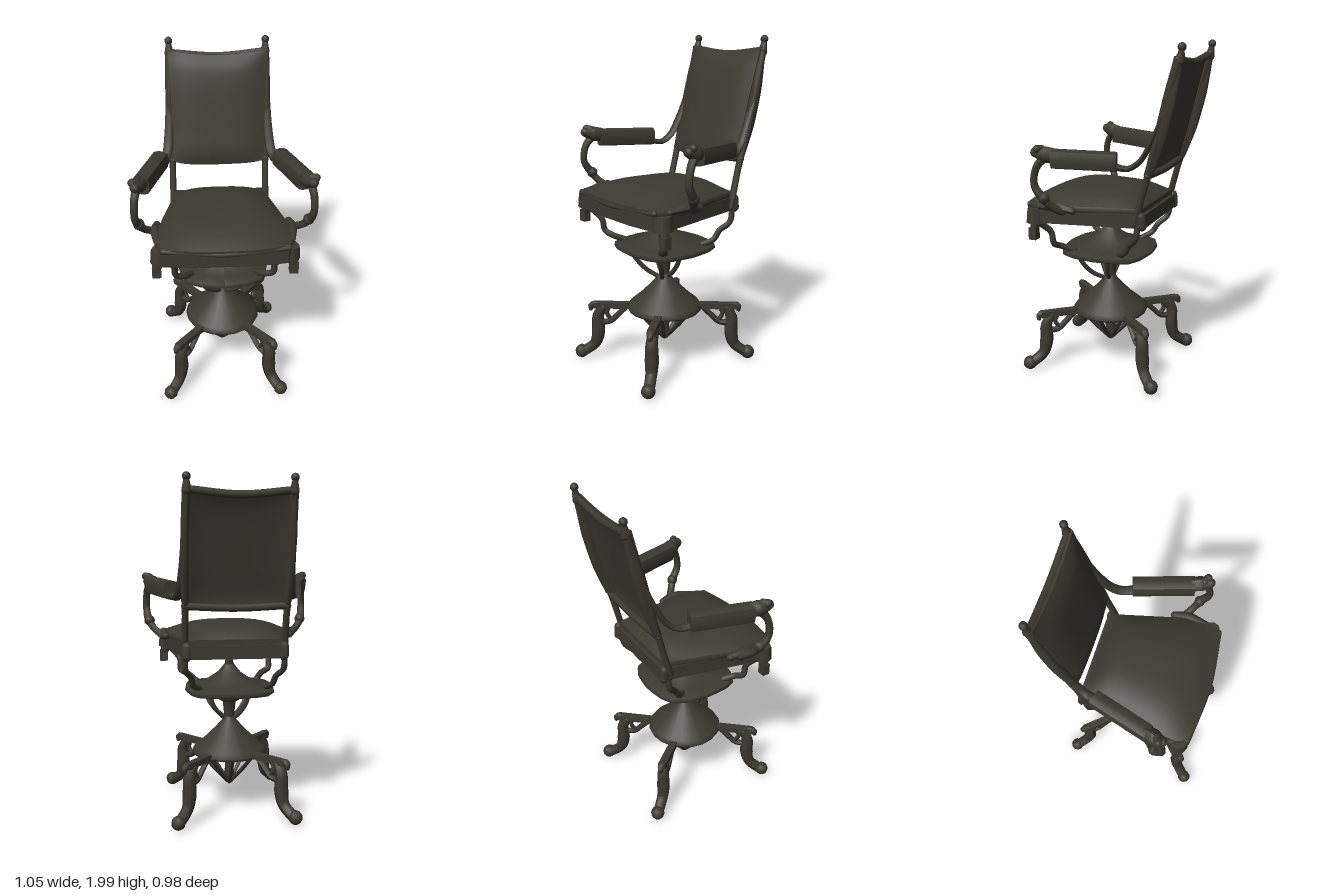
import * as THREE from 'three';
import { mergeGeometries } from 'three/addons/utils/BufferGeometryUtils.js';

const V = (p) => new THREE.Vector3(...p);
const CZ = 0.055; // z of the pedestal axis

// Tapered, round-ended tube through a few points; wide and deep stretch its section along x and z
function limb(points, radii, seg = 16, sides = 8, wide = 1, deep = 1) {
  const r = Array.isArray(radii) ? radii : [radii, radii];
  const curve = new THREE.CatmullRomCurve3(points.map(V));
  const stretch = new THREE.Vector3(wide, 1, deep);
  const radiusAt = (t) => {
    const f = t * (r.length - 1), i = Math.min(Math.floor(f), r.length - 2);
    return THREE.MathUtils.lerp(r[i], r[i + 1], f - i);
  };
  const g = new THREE.TubeGeometry(curve, seg, 1, sides);
  const pos = g.attributes.position, p = new THREE.Vector3();
  for (let i = 0; i < pos.count; i++) {
    const t = Math.floor(i / (sides + 1)) / seg, c = curve.getPointAt(t);
    p.fromBufferAttribute(pos, i).sub(c).multiplyScalar(radiusAt(t)).multiply(stretch).add(c);
    pos.setXYZ(i, p.x, p.y, p.z);
  }
  g.computeVertexNormals();
  const caps = [0, 1].map((t) => {
    const c = curve.getPointAt(t);
    return new THREE.SphereGeometry(radiusAt(t), 8, 6).scale(wide, 1, deep).translate(c.x, c.y, c.z);
  });
  return mergeGeometries([g, ...caps]);
}

// Box with every vertex moved by a rule; inputs run from -1 to 1
function shapedBox(nx, ny, nz, rule) {
  const g = new THREE.BoxGeometry(2, 2, 2, nx, ny, nz), pos = g.attributes.position;
  for (let i = 0; i < pos.count; i++) pos.setXYZ(i, ...rule(pos.getX(i), pos.getY(i), pos.getZ(i)));
  g.computeVertexNormals();
  return g;
}

// Piecewise-linear lookup
function lookup(table, x) {
  for (let i = 1; i < table.length; i++) {
    const [a, b] = [table[i - 1], table[i]];
    if (x <= b[0] || i === table.length - 1) return THREE.MathUtils.mapLinear(x, a[0], b[0], a[1], b[1]);
  }
}

const seatOutline = [[0.28, -0.27], [0.385, 0.28], [0.4, 0.36], [0.35, 0.425], [0.18, 0.445]];
function outline(Type, k) {
  const right = seatOutline.map(([x, z]) => new THREE.Vector2(x * k, -((z - 0.08) * k + 0.08)));
  const left = right.map((p) => new THREE.Vector2(-p.x, p.y)).reverse();
  return new Type([...right, ...left]);
}
function slab(shape, y, h) {
  return new THREE.ExtrudeGeometry(shape, { depth: h, bevelEnabled: false }).rotateX(-Math.PI / 2).translate(0, y, 0);
}

export function createModel() {
  const model = new THREE.Group();
  const mat = new THREE.MeshStandardMaterial({ color: 0x3b3a31, side: THREE.DoubleSide });
  mat.name = 'darkOlive';
  const add = (name, geo, parent = model) => {
    const m = new THREE.Mesh(geo, mat);
    m.name = name;
    parent.add(m);
    return m;
  };
  const turned = (pts, sides) => new THREE.LatheGeometry(pts.map((p) => new THREE.Vector2(...p)), sides);
  const ball = (name, p, r, parent) => add(name, new THREE.SphereGeometry(r, 10, 8).translate(...p), parent);

  // Pedestal: open cone and turned column
  add('baseCone', turned([[0.19, 0.36], [0.225, 0.345], [0.232, 0.36], [0.215, 0.385], [0.15, 0.44], [0.085, 0.505], [0.045, 0.55], [0.026, 0.58]], 20)).position.z = CZ;
  add('column', turned([[0, 0.135], [0.022, 0.15], [0.03, 0.19], [0.026, 0.3], [0.034, 0.45], [0.03, 0.57], [0.04, 0.665],
    [0.065, 0.68], [0.07, 0.7], [0.065, 0.725], [0.035, 0.735], [0.03, 0.85], [0.024, 0.93], [0.035, 0.97], [0.035, 1.03], [0, 1.04]], 12)).position.z = CZ;

  // Dish whose rim swells towards the four diagonals
  const dish = turned([[0.2, 0.76], [0.26, 0.735], [0.273, 0.745], [0.268, 0.768], [0.2, 0.775], [0.14, 0.8], [0.07, 0.85], [0.03, 0.9]], 24);
  const dp = dish.attributes.position;
  for (let i = 0; i < dp.count; i++) {
    const x = dp.getX(i), z = dp.getZ(i), k = 1 + 0.13 * Math.sin(2 * Math.atan2(z, x)) ** 4;
    dp.setXYZ(i, x * k, dp.getY(i), z * k);
  }
  dish.computeVertexNormals();
  add('upperDish', dish).position.z = CZ;

  const ribs = new THREE.Group();
  ribs.name = 'pedestalRibs';
  ribs.position.z = CZ;
  model.add(ribs);
  for (let i = 0; i < 8; i++)
    add('lowerRib', limb([[0.19, 0.36, 0], [0.1, 0.25, 0], [0.02, 0.165, 0]], 0.012, 8, 6), ribs).rotation.y = i * Math.PI / 4;

  // Four scrolled legs on the diagonals
  for (const sx of [-1, 1]) for (const sz of [-1, 1]) {
    const leg = new THREE.Group();
    leg.name = 'leg';
    leg.position.z = CZ;
    leg.rotation.y = Math.atan2(-sz * 0.76, sx * 0.65);
    model.add(leg);
    add('legArm', new THREE.BoxGeometry(0.26, 0.035, 0.045).translate(0.315, 0.362, 0), leg);
    add('legTip', limb([[0.42, 0.362, 0], [0.455, 0.362, 0], [0.46, 0.337, 0]], [0.024, 0.022, 0.014], 6), leg);
    add('legShank', limb([[0.385, 0.35, 0], [0.415, 0.29, 0], [0.415, 0.2, 0], [0.435, 0.11, 0], [0.51, 0.05, 0]],
      [0.028, 0.038, 0.042, 0.034, 0.033]), leg);
    ball('foot', [0.523, 0.052, 0], 0.042, leg);
    add('legScroll', limb([[0.4, 0.25, 0], [0.34, 0.255, 0], [0.29, 0.3, 0], [0.24, 0.35, 0]], 0.018, 10, 6), leg);
    add('legWeb', limb([[0.33, 0.26, 0], [0.36, 0.31, 0], [0.34, 0.355, 0]], 0.014, 8, 6), leg);
  }

  // Seat frame, board and padded cushion
  const frame = outline(THREE.Shape, 1);
  frame.holes.push(outline(THREE.Path, 0.92));
  add('seatFrame', slab(frame, 0.98, 0.08));
  add('seatBoard', slab(outline(THREE.Shape, 0.95), 1.04, 0.025));
  const widths = [[-0.25, 0.268], [-0.1, 0.305], [0.1, 0.355], [0.2, 0.38], [0.3, 0.388], [0.37, 0.375], [0.42, 0.345]];
  add('seatCushion', shapedBox(16, 3, 16, (u, h, v) => {
    const z = 0.085 + 0.335 * v, t = (h + 1) / 2;
    const dome = (1 - Math.abs(u) ** 3) * (1 - Math.abs(v) ** (v < 0 ? 5 : 2.6));
    const bulge = 1 + 0.015 * (1 - h * h);
    return [u * lookup(widths, z) * bulge, 1.055 + t * (0.035 + 0.082 * dome),
      z + Math.max(v, 0) * 0.035 * (1 - u * u)];
  }));
  add('frontRoll', limb([[-0.35, 1.075, 0.41], [0, 1.065, 0.442], [0.35, 1.075, 0.41]], 0.018));

  // Back: padded panel, hollow behind, between two leaning posts
  const lean = [[1.0, -0.215], [1.25, -0.28], [1.45, -0.335], [1.7, -0.395], [1.92, -0.455], [2, -0.475]];
  add('backPanel', shapedBox(12, 14, 2, (u, h, w) => {
    const y = 1.583 + 0.313 * h + (h > 0 ? h * 0.03 * u * u : h * (0.01 * (1 - u * u) - 0.015 * u ** 8));
    const pad = (1 - u ** 4) * (1 - h ** 8);
    return [u * (0.287 - 0.006 * (1 - h * h) + 0.008 * h), y,
      lookup(lean, y) + w * 0.013 + (w > 0 ? 0.034 : 0.024) * pad + 0.014];
  }));
  for (const [name, y, dip] of [['backTopRail', 1.908, -0.025], ['backBottomRail', 1.285, -0.012]])
    add(name, limb([-0.29, 0, 0.29].map((x) => [x, y + (x ? 0 : dip), lookup(lean, y)]), 0.021));

  for (const s of [-1, 1]) {
    const side = new THREE.Group();
    side.name = s > 0 ? 'leftSide' : 'rightSide';
    model.add(side);
    const part = (name, pts, ...rest) => add(name, limb(pts.map(([x, y, z]) => [s * x, y, z]), ...rest), side);

    // Post, deep stile and turned finial
    part('backPost', [[0.29, 1, -0.215], [0.287, 1.25, -0.28], [0.293, 1.45, -0.335], [0.292, 1.7, -0.397], [0.285, 1.92, -0.46]], [0.02, 0.019, 0.024, 0.023, 0.024]);
    part('backStile', [[0.289, 1.3, -0.3], [0.292, 1.45, -0.345], [0.292, 1.7, -0.408], [0.287, 1.88, -0.45]], [0.012, 0.022, 0.023, 0.014], 16, 8, 1, 1.7);
    part('finialNeck', [[0.285, 1.9, -0.457], [0.286, 1.96, -0.467]], [0.027, 0.015], 4);
    ball('finial', [s * 0.286, 1.972, -0.468], 0.023, side);

    // Armrest: flat curved rear support, slanted pad, knob and scrolled front support
    part('armRearSupport', [[0.295, 1.62, -0.375], [0.3, 1.48, -0.315], [0.312, 1.37, -0.255], [0.33, 1.325, -0.19], [0.355, 1.34, -0.11]],
      [0.012, 0.014, 0.016, 0.016, 0.018], 16, 8, 1.8);
    add('armPad', shapedBox(4, 4, 6, (u, h, v) => {
      const x = s * (0.405 + 0.052 * v);
      return [x + u * 0.046 * (1 - 0.15 * h * h), 1.37 + 0.006 * v + h * (0.054 - 0.01 * u * u), 0.035 + 0.17 * v - s * u * 0.013];
    }), side);
    part('armKnob', [[0.455, 1.39, 0.19], [0.475, 1.4, 0.25], [0.485, 1.41, 0.29]], [0.042, 0.046, 0.028], 8);
    part('armKnobTip', [[0.475, 1.425, 0.255], [0.5, 1.43, 0.27]], 0.024, 4);
    part('armFrontSupport', [[0.475, 1.39, 0.23], [0.493, 1.33, 0.28], [0.497, 1.23, 0.295], [0.485, 1.16, 0.255], [0.455, 1.11, 0.225], [0.4, 1.065, 0.18]], [0.025, 0.022, 0.021, 0.025, 0.022, 0.024], 24);
    ball('armScrollBead', [s * 0.48, 1.155, 0.248], 0.033, side);
    part('armFoot', [[0.385, 1.07, 0.12], [0.395, 1.085, 0.2], [0.38, 1.075, 0.33]], [0.022, 0.027, 0.018], 8);

    // Seat corner blocks, pendants and underside braces
    add('frontCorner', new THREE.CylinderGeometry(0.05, 0.058, 0.085, 8).translate(s * 0.365, 1.018, 0.365), side);
    part('frontPendant', [[0.37, 1.0, 0.362], [0.385, 0.94, 0.367]], [0.034, 0.025], 4);
    add('pendantBlock', new THREE.BoxGeometry(0.05, 0.07, 0.045).translate(s * 0.39, 0.915, 0.367), side);
    part('rearCorner', [[0.28, 1.05, -0.25], [0.28, 0.995, -0.255]], 0.028, 4);
    part('frontBrace', [[0.36, 1.005, 0.38], [0, 1.005, CZ]], 0.02, 4);
    part('rearBrace', [[0.27, 1.0, -0.24], [0, 1.0, CZ]], 0.02, 4);

    // Bent brackets from dish to seat, and the ribs below the dish
    part('frontBracket', [[0.195, 0.775, 0.21], [0.24, 0.805, 0.275], [0.285, 0.83, 0.295], [0.29, 0.9, 0.31], [0.335, 0.955, 0.345], [0.37, 0.985, 0.36]], 0.019, 20);
    part('rearBracket', [[0.19, 0.775, -0.08], [0.235, 0.805, -0.13], [0.25, 0.86, -0.165], [0.285, 0.91, -0.215], [0.285, 1.0, -0.235]], 0.018, 20);
    part('outerRib', [[0.14, 0.75, 0.22], [0.125, 0.67, 0.185], [0.08, 0.6, 0.14], [0.02, 0.555, 0.09]], 0.014, 12, 6);
    part('innerRib', [[0.12, 0.75, 0.03], [0.105, 0.66, 0.035], [0.06, 0.59, 0.045], [0.02, 0.555, CZ]], 0.014, 12, 6);
  }
  return model;
}
